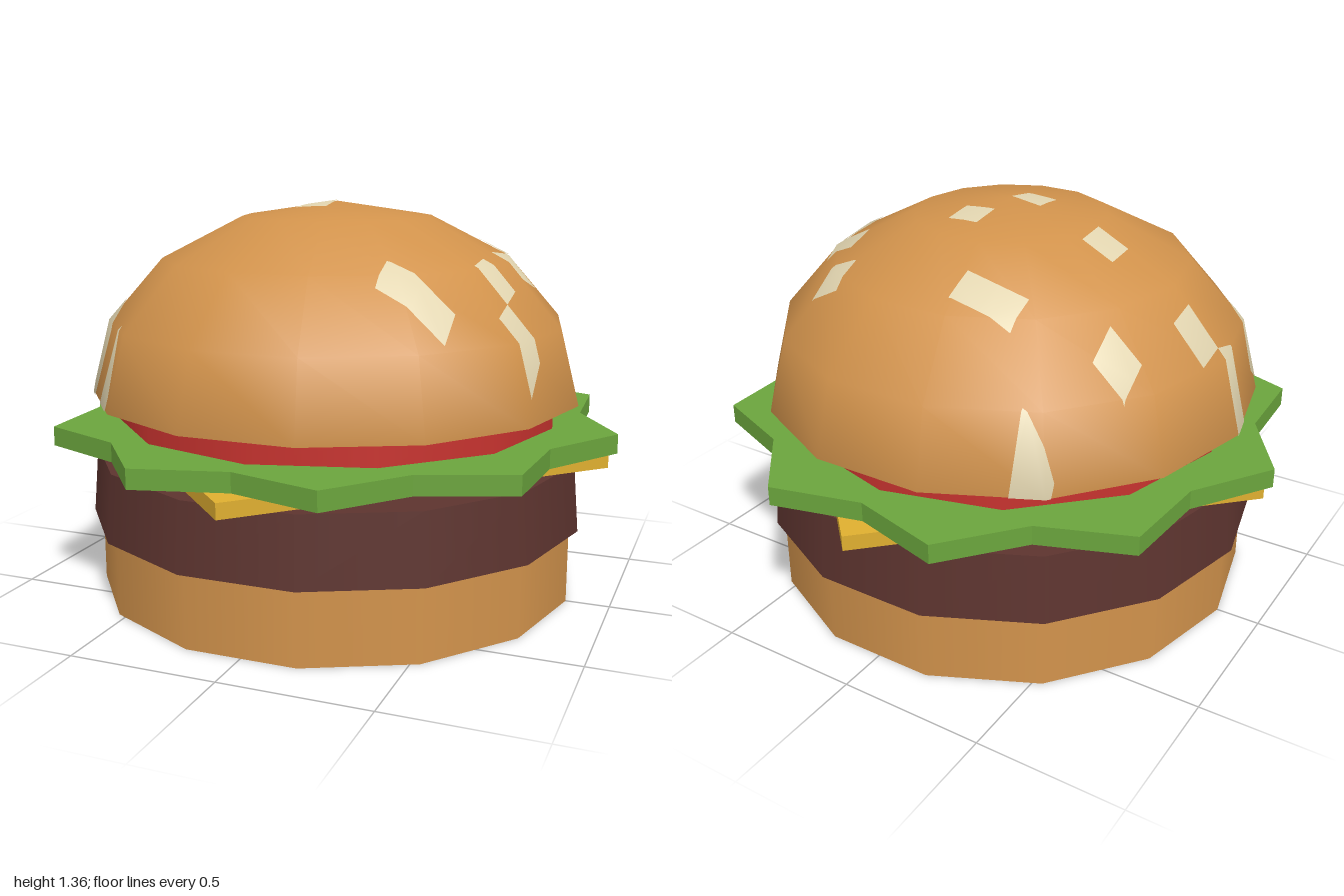
import * as THREE from 'three';

const SIDES = 14;
const BUN = { radius: 0.865, base: 0.695, height: 0.663 };

const paint = (name, color) => {
  const m = new THREE.MeshStandardMaterial({ color });
  m.name = name;
  return m;
};

// Round slice between two heights, with a corner on the x axis
function slice(name, rTop, rBottom, y0, y1, sides, material) {
  const geo = new THREE.CylinderGeometry(rTop, rBottom, y1 - y0, sides, 1, false, Math.PI / 2);
  const mesh = new THREE.Mesh(geo, material);
  mesh.position.y = (y0 + y1) / 2;
  mesh.name = name;
  return mesh;
}

// Flat slab from an outline whose radii alternate around the circle
function slab(name, corners, radii, y0, y1, material) {
  const points = [];
  for (let i = 0; i < corners; i++) {
    const a = (i / corners) * Math.PI * 2;
    const r = radii[i % radii.length];
    points.push(new THREE.Vector2(Math.cos(a) * r, Math.sin(a) * r));
  }
  const geo = new THREE.ExtrudeGeometry(new THREE.Shape(points), { depth: y1 - y0, bevelEnabled: false });
  geo.rotateX(-Math.PI / 2);
  const mesh = new THREE.Mesh(geo, material);
  mesh.position.y = y0;
  mesh.name = name;
  return mesh;
}

// Keep the part of a polygon where sign * p[axis] >= sign * limit
function clip(poly, axis, limit, sign) {
  const out = [];
  poly.forEach((a, i) => {
    const b = poly[(i + 1) % poly.length];
    const da = sign * (a[axis] - limit);
    const db = sign * (b[axis] - limit);
    if (da >= 0) out.push(a);
    if (da * db < 0) out.push(a.clone().lerp(b, da / (da - db)));
  });
  return out;
}

// Sesame cells (column, row), seen from above and laid over the dome facets
const SEEDS = [
  [-5, -7], [-3, -5], [-2, -5], [3, -5], [-6, -4], [4, -3], [0, -2], [5, -2], [5, -1], [-7, -1],
  [-4, -1], [-1, 0], [-8, 0], [5, 1], [6, 2], [-7, 3], [3, 4], [4, 4], [-6, 5],
];
const CELL_X = 0.11;
const CELL_Z = 0.1075;

function seedGeometry(dome) {
  const flat = dome.toNonIndexed().attributes.position;
  const positions = [];
  const normals = [];
  const normal = new THREE.Vector3();
  for (let i = 0; i < flat.count; i += 3) {
    const tri = [0, 1, 2].map((k) => new THREE.Vector3().fromBufferAttribute(flat, i + k));
    for (const [col, row] of SEEDS) {
      let poly = clip(tri, 'x', col * CELL_X, 1);
      poly = clip(poly, 'x', (col + 1) * CELL_X, -1);
      poly = clip(poly, 'z', row * CELL_Z, 1);
      poly = clip(poly, 'z', (row + 1) * CELL_Z, -1);
      for (let k = 1; k + 1 < poly.length; k++) {
        for (const p of [poly[0], poly[k], poly[k + 1]]) {
          normal.set(p.x / BUN.radius ** 2, p.y / BUN.height ** 2, p.z / BUN.radius ** 2).normalize();
          positions.push(p.x + normal.x * 0.004, p.y + normal.y * 0.004, p.z + normal.z * 0.004);
          normals.push(normal.x, normal.y, normal.z);
        }
      }
    }
  }
  const geo = new THREE.BufferGeometry();
  geo.setAttribute('position', new THREE.Float32BufferAttribute(positions, 3));
  geo.setAttribute('normal', new THREE.Float32BufferAttribute(normals, 3));
  return geo;
}

export function createModel() {
  const bread = paint('bread', 0xd2934c);
  const meat = paint('meat', 0x5d342f);
  const cheese = paint('cheese', 0xdfaf30);
  const leaf = paint('lettuce', 0x6ba53d);
  const tomato = paint('tomato', 0xc8332f);
  const sesame = paint('sesame', 0xe2d5b0);

  const model = new THREE.Group();
  model.name = 'burger';

  // Stacked fillings
  model.add(
    slice('bottomBun', 0.85, 0.85, 0, 0.257, SIDES, bread),
    slice('patty', 0.86, 0.88, 0.257, 0.492, SIDES, meat),
    slab('cheeseSlice', 4, [0.972], 0.492, 0.544, cheese),
    slab('lettuceLeaf', 20, [1, 0.87], 0.544, 0.61, leaf),
    slice('tomatoSlice', 0.78, 0.78, 0.61, BUN.base, 12, tomato),
  );

  // Top bun: half dome with a flat underside and sesame seeds
  const topBun = new THREE.Group();
  topBun.name = 'topBun';
  topBun.position.y = BUN.base;
  const domeGeo = new THREE.SphereGeometry(1, SIDES, 4, 0, Math.PI * 2, 0, Math.PI / 2);
  domeGeo.scale(BUN.radius, BUN.height, BUN.radius);
  const dome = new THREE.Mesh(domeGeo, bread);
  dome.name = 'dome';
  const underside = new THREE.Mesh(new THREE.CircleGeometry(BUN.radius, SIDES).rotateX(Math.PI / 2), bread);
  underside.name = 'underside';
  const seeds = new THREE.Mesh(seedGeometry(domeGeo), sesame);
  seeds.name = 'sesameSeeds';
  topBun.add(dome, underside, seeds);
  model.add(topBun);

  return model;
}
